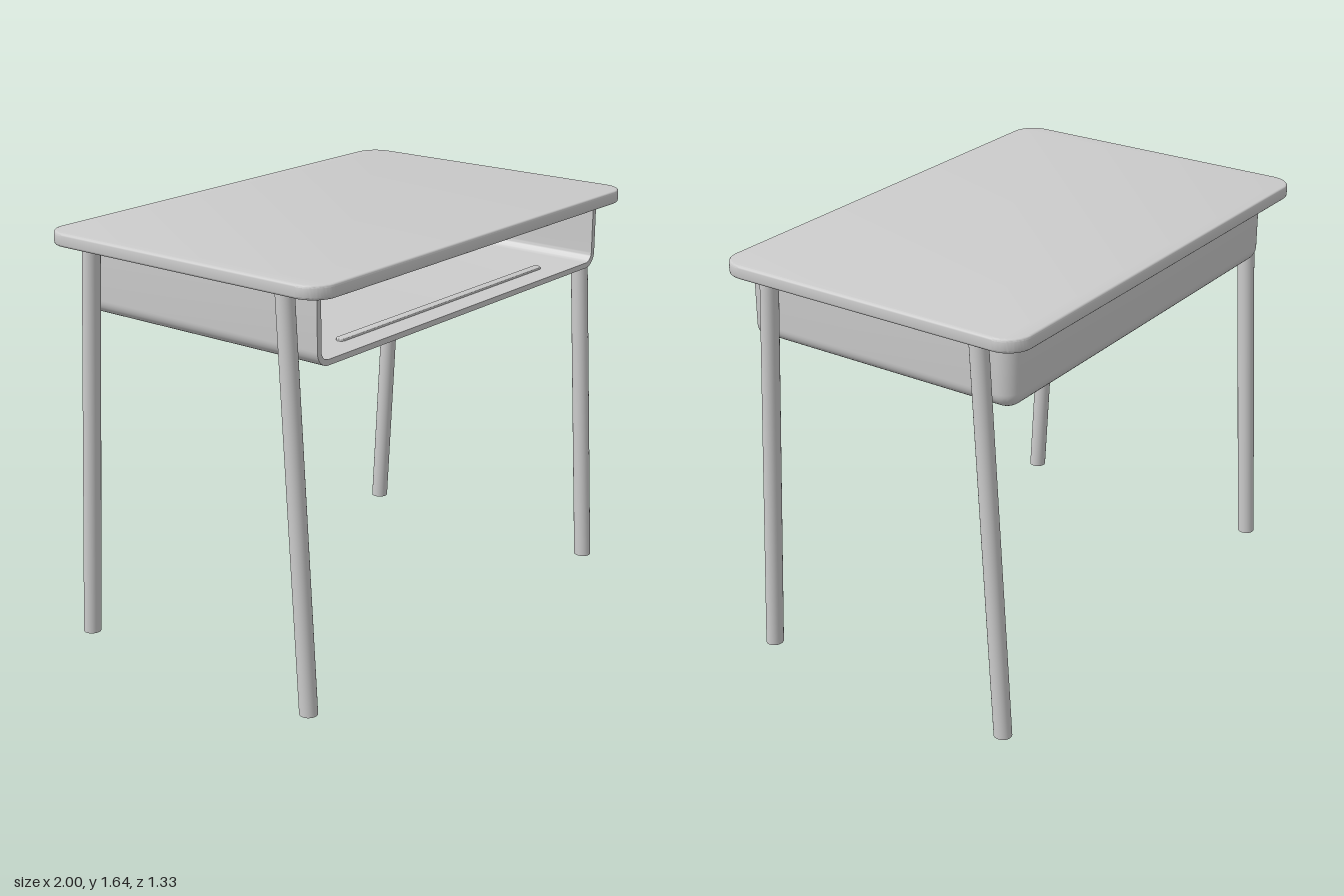
import * as THREE from 'three';
import { toCreasedNormals } from 'three/addons/utils/BufferGeometryUtils.js';

const TOP = 1.585; // underside of the desktop
const material = new THREE.MeshStandardMaterial({ color: 0xcccccc });

function addMesh(parent, name, geometry) {
  const mesh = new THREE.Mesh(geometry, material);
  mesh.name = name;
  parent.add(mesh);
  return mesh;
}

// Horizontal slab with rounded corners and softened edges, resting on y = 0
function slab(width, depth, height, radius, bevel) {
  const x = width / 2 - bevel, z = depth / 2 - bevel, r = radius - bevel;
  const shape = new THREE.Shape();
  shape.absarc(x - r, z - r, r, 0, Math.PI / 2);
  shape.absarc(-x + r, z - r, r, Math.PI / 2, Math.PI);
  shape.absarc(-x + r, -z + r, r, Math.PI, Math.PI * 1.5);
  shape.absarc(x - r, -z + r, r, Math.PI * 1.5, Math.PI * 2);
  const geometry = new THREE.ExtrudeGeometry(shape, {
    depth: height - 2 * bevel, bevelThickness: bevel, bevelSize: bevel, bevelSegments: 3, curveSegments: 12,
  });
  geometry.rotateX(-Math.PI / 2).translate(0, bevel, 0);
  return toCreasedNormals(geometry, 0.6);
}

// U-shaped plan line of the tray, open to the front
function trayLine(halfWidth, back, radius, front, y) {
  const points = [new THREE.Vector3(-halfWidth, y, front)];
  const steps = 10;
  for (const side of [-1, 1]) {
    for (let i = 0; i <= steps; i++) {
      const t = (i / steps) * Math.PI / 2;
      const a = side < 0 ? t : Math.PI / 2 - t;
      points.push(new THREE.Vector3(
        side * (halfWidth - radius + radius * Math.cos(a)), y, back + radius - radius * Math.sin(a)));
    }
  }
  points.push(new THREE.Vector3(halfWidth, y, front));
  return points;
}

// Rows of one tray skin: wall, bottom fillet, then the floor up to the middle line
function traySkin(halfWidth, back, floor, corner, fillet, front) {
  const rows = [trayLine(halfWidth, back, corner, front, TOP)];
  const steps = 10;
  for (let i = 0; i <= steps; i++) {
    const a = (i / steps) * Math.PI / 2;
    const inset = fillet * (1 - Math.cos(a));
    rows.push(trayLine(halfWidth - inset, back + inset, corner - inset, front,
      floor + fillet * (1 - Math.sin(a))));
  }
  rows.push(rows[rows.length - 1].map((p) => new THREE.Vector3(0, p.y, p.z)));
  return rows;
}

function trayGeometry() {
  const front = 0.58, thickness = 0.022;
  const outer = traySkin(0.9, -0.58, 1.315, 0.07, 0.06, front);
  const inner = traySkin(0.9 - thickness, -0.58 + thickness, 1.315 + thickness, 0.048, 0.038, front);
  const positions = [];
  const triangle = (a, b, c) => {
    const area = b.clone().sub(a).cross(c.clone().sub(a)).length();
    if (area > 1e-9) for (const p of [a, b, c]) positions.push(p.x, p.y, p.z);
  };
  const quad = (a, b, c, d) => { triangle(a, b, c); triangle(a, c, d); };
  const last = outer[0].length - 1;
  for (let r = 0; r < outer.length - 1; r++) {
    for (let i = 0; i < last; i++) {
      quad(outer[r][i], outer[r][i + 1], outer[r + 1][i + 1], outer[r + 1][i]);
      quad(inner[r][i], inner[r + 1][i], inner[r + 1][i + 1], inner[r][i + 1]);
    }
    // front rim on both sides
    quad(outer[r][0], outer[r + 1][0], inner[r + 1][0], inner[r][0]);
    quad(outer[r][last], inner[r][last], inner[r + 1][last], outer[r + 1][last]);
  }
  const geometry = new THREE.BufferGeometry();
  geometry.setAttribute('position', new THREE.Float32BufferAttribute(positions, 3));
  return toCreasedNormals(geometry, 0.6);
}

// Round leg leaning inward, with level ends
function legGeometry(bottomZ, topZ) {
  const geometry = new THREE.CylinderGeometry(0.035, 0.035, TOP, 32);
  geometry.translate(0, TOP / 2, 0);
  const lean = new THREE.Matrix4().set(
    1, 0, 0, 0,
    0, 1, 0, 0,
    0, (topZ - bottomZ) / TOP, 1, bottomZ,
    0, 0, 0, 1);
  return geometry.applyMatrix4(lean);
}

export function createModel() {
  const desk = new THREE.Group();
  desk.name = 'schoolDesk';

  addMesh(desk, 'desktop', slab(2, 1.33, 0.053, 0.1, 0.01)).position.y = TOP;

  // Storage tray with a low pencil stop near its opening
  const tray = new THREE.Group();
  tray.name = 'storageTray';
  desk.add(tray);
  addMesh(tray, 'trayShell', trayGeometry()).material = material.clone();
  tray.children[0].material.side = THREE.DoubleSide;
  addMesh(tray, 'pencilStop', slab(1.3, 0.036, 0.014, 0.017, 0.004)).position.set(0, 1.333, 0.47);

  // Four legs
  for (const [sideName, x] of [['Left', 0.94], ['Right', -0.94]]) {
    for (const [endName, end] of [['front', 1], ['back', -1]]) {
      addMesh(desk, `${endName}${sideName}Leg`, legGeometry(end * 0.562, end * 0.47)).position.x = x;
    }
  }
  return desk;
}
